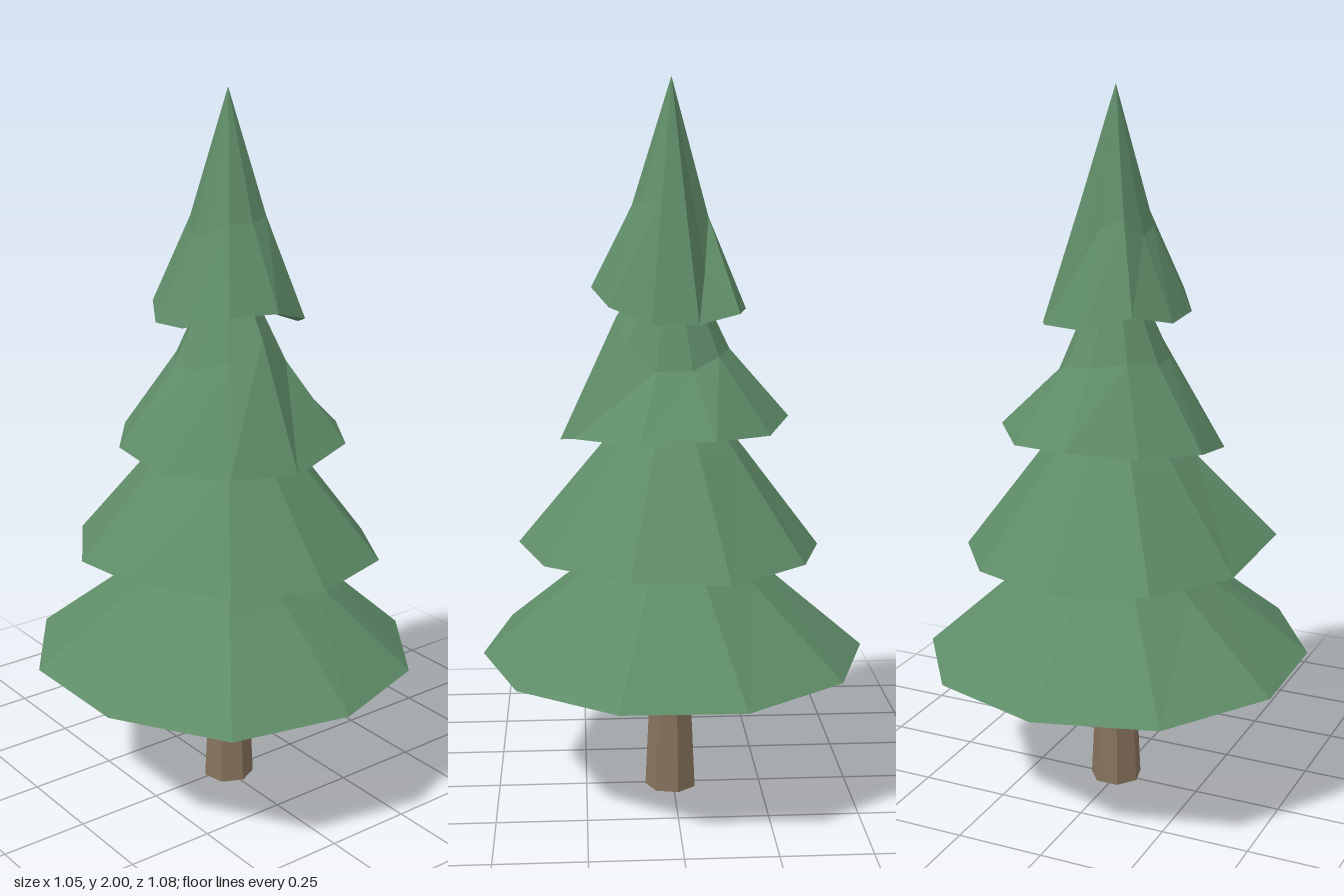
import * as THREE from 'three';

const SIDES = 10;

// Each tier: apex height, underside centre height, and per-corner skirt radius (r),
// skirt height (y) and knee height (knee), going round from +z towards +x
const TIERS = [
  {
    name: 'bottomBranches', apex: 0.89, under: 0.47,
    r: [0.533, 0.533, 0.534, 0.541, 0.545, 0.543, 0.568, 0.558, 0.55, 0.573],
    y: [0.405, 0.405, 0.405, 0.405, 0.41, 0.41, 0.415, 0.42, 0.415, 0.41],
    knee: [0.63, 0.64, 0.65, 0.65, 0.64, 0.645, 0.64, 0.63, 0.63, 0.64],
  },
  {
    name: 'lowerBranches', apex: 1.24, under: 0.79,
    r: [0.427, 0.437, 0.412, 0.427, 0.425, 0.413, 0.442, 0.425, 0.452, 0.438],
    y: [0.73, 0.73, 0.72, 0.71, 0.72, 0.71, 0.73, 0.73, 0.77, 0.745],
    knee: [0.99, 0.99, 1.0, 1.0, 1.0, 0.99, 1.0, 1.0, 1.0, 1.0],
  },
  {
    name: 'upperBranches', apex: 1.6, under: 1.11,
    r: [0.308, 0.334, 0.323, 0.321, 0.313, 0.325, 0.303, 0.312, 0.302, 0.309],
    y: [1.02, 1.06, 1.06, 1.07, 1.06, 1.08, 1.06, 1.05, 1.02, 1.03],
    knee: [1.36, 1.28, 1.23, 1.23, 1.26, 1.27, 1.28, 1.27, 1.27, 1.3],
  },
  {
    name: 'topBranches', apex: 2.0, under: 1.45,
    r: [0.219, 0.215, 0.203, 0.201, 0.218, 0.204, 0.215, 0.204, 0.207, 0.217],
    y: [1.44, 1.4, 1.36, 1.36, 1.38, 1.38, 1.42, 1.39, 1.4, 1.44],
    knee: [1.66, 1.67, 1.68, 1.68, 1.49, 1.63, 1.66, 1.61, 1.63, 1.66],
  },
];

// Two-stage faceted cone with an uneven hem and a shallow hollow underside
function tierGeometry({ apex, under, r, y, knee }) {
  const corner = (k, radius, height) => {
    const a = (k / SIDES) * Math.PI * 2;
    return [Math.sin(a) * radius, height, Math.cos(a) * radius];
  };
  const hem = r.map((radius, k) => corner(k, radius, y[k]));
  const mid = r.map((radius, k) => corner(k, radius * 0.49, knee[k]));
  const tip = [0, apex, 0];
  const hollow = [0, under, 0];
  const points = [];
  for (let k = 0; k < SIDES; k++) {
    const n = (k + 1) % SIDES;
    points.push(tip, mid[k], mid[n]);
    points.push(mid[k], hem[k], mid[n]);
    points.push(hem[k], hem[n], mid[n]);
    points.push(hollow, hem[n], hem[k]);
  }
  const geometry = new THREE.BufferGeometry();
  geometry.setAttribute('position', new THREE.Float32BufferAttribute(points.flat(), 3));
  geometry.computeVertexNormals();
  return geometry;
}

export function createModel() {
  const needles = new THREE.MeshStandardMaterial({ color: 0x5f8c68, flatShading: true });
  needles.name = 'needle green';
  const bark = new THREE.MeshStandardMaterial({ color: 0x86725c, flatShading: true, side: THREE.DoubleSide });
  bark.name = 'bark brown';

  const tree = new THREE.Group();
  tree.name = 'pineTree';

  // Tapered seven-sided trunk, open at the ends
  const trunk = new THREE.Mesh(new THREE.CylinderGeometry(0.05, 0.074, 0.5, 7, 1, true), bark);
  trunk.name = 'trunk';
  trunk.position.set(0.007, 0.25, 0.006);
  tree.add(trunk);

  // Stacked branch tiers
  for (const tier of TIERS) {
    const mesh = new THREE.Mesh(tierGeometry(tier), needles);
    mesh.name = tier.name;
    mesh.position.set(0.007, 0, 0.004);
    tree.add(mesh);
  }
  return tree;
}
